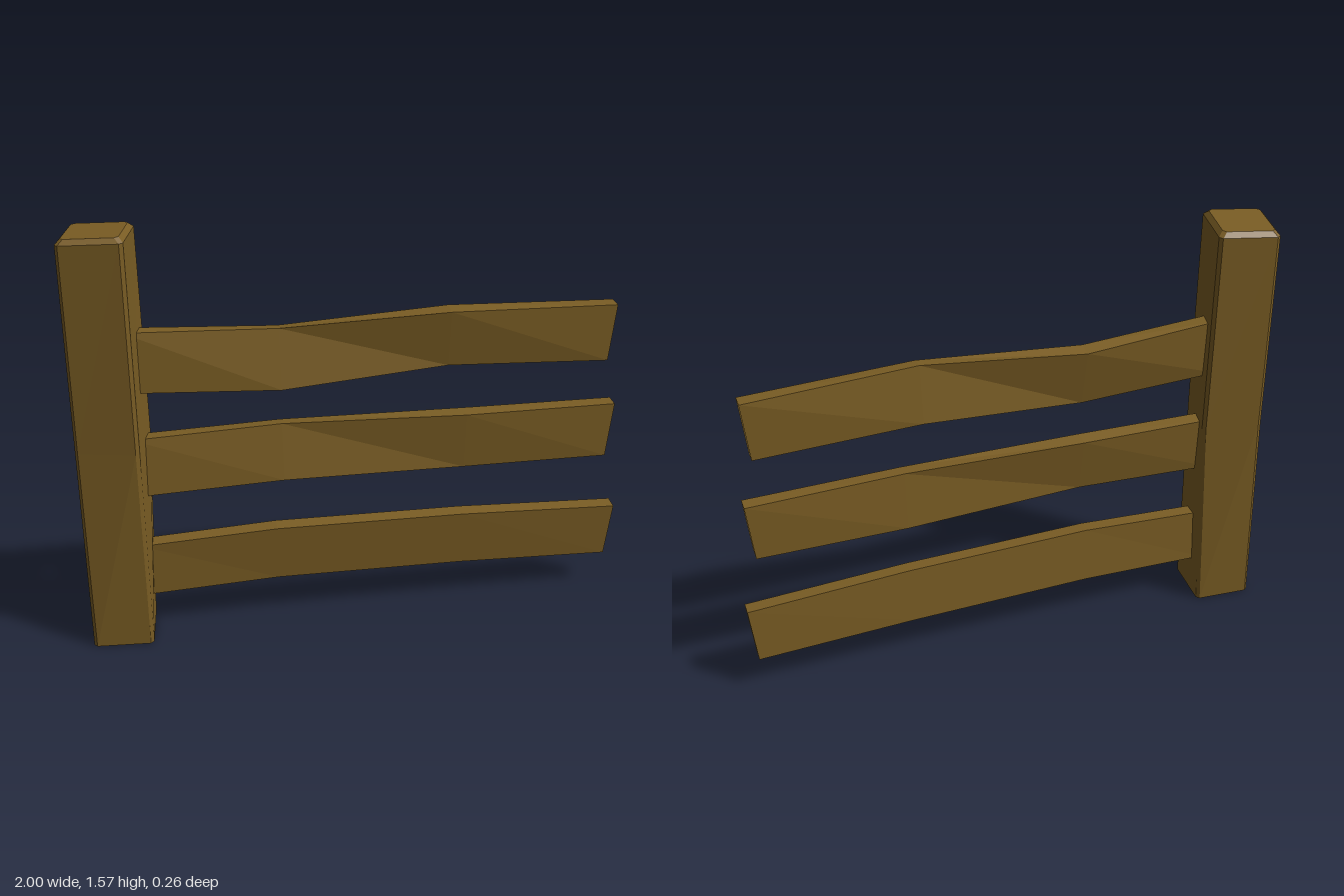
import * as THREE from 'three';

const wood = new THREE.MeshStandardMaterial({ color: 0x7a5d24, side: THREE.DoubleSide, flatShading: true });
wood.name = 'brown wood';

// Skins a list of equal-sized rings of points; the last ring may be capped
function loft(rings, capEnd) {
  const pos = [];
  const tri = (...pts) => pts.forEach((p) => pos.push(p.x, p.y, p.z));
  for (let r = 0; r < rings.length - 1; r++) {
    const a = rings[r], b = rings[r + 1], n = a.length;
    for (let i = 0; i < n; i++) {
      const j = (i + 1) % n;
      tri(a[i], a[j], b[j]);
      tri(a[i], b[j], b[i]);
    }
  }
  if (capEnd) {
    const e = rings[rings.length - 1];
    for (let i = 1; i < e.length - 1; i++) tri(e[0], e[i], e[i + 1]);
  }
  const g = new THREE.BufferGeometry();
  g.setAttribute('position', new THREE.Float32BufferAttribute(pos, 3));
  g.computeVertexNormals();
  return g;
}

// Square post section with narrow chamfered corners, turned about y
function postRing({ x, y, z, half, turn, slopeX = 0, slopeZ = 0 }) {
  const k = half - 0.012, c = Math.cos(turn), s = Math.sin(turn);
  return [
    [k, half], [half, k], [half, -k], [k, -half],
    [-k, -half], [-half, -k], [-half, k], [-k, half],
  ].map(([u, v]) => {
    const dx = u * c - v * s, dz = u * s + v * c;
    return new THREE.Vector3(x + dx, y + dx * slopeX + dz * slopeZ, z + dz);
  });
}

// Rail section: rolled about x by roll, leaning along x by lean
function railRing({ x, y, height, roll, lean = 0 }) {
  const h = height / 2, t = 0.0275, c = Math.cos(roll), s = Math.sin(roll);
  return [[h, -t], [h, t], [-h, t], [-h, -t]].map(([v, w]) =>
    new THREE.Vector3(x + v * lean, y + v * c - w * s, v * s + w * c));
}

export function createModel() {
  const model = new THREE.Group();
  model.name = 'fenceSection';
  const add = (name, geometry) => {
    const mesh = new THREE.Mesh(geometry, wood);
    mesh.name = name;
    model.add(mesh);
  };

  // Slightly twisted post, open underneath, with a bevelled sloping top
  const slope = { slopeX: 0.03, slopeZ: 0.06 };
  add('post', loft([
    { x: -0.882, y: 0, z: 0.002, half: 0.11, turn: 0.075 },
    { x: -0.862, y: 0.8, z: 0, half: 0.112, turn: 0.21 },
    { x: -0.858, y: 1.548, z: 0.002, half: 0.11, turn: 0.19, ...slope },
    { x: -0.858, y: 1.565, z: 0.002, half: 0.094, turn: 0.19, ...slope },
  ].map(postRing), true));

  // Hollow warped rails: [x, centre height, board height, roll] per section
  const rails = {
    topRail: [[-0.8, 1.097, 0.22, -0.05], [-0.27, 1.067, 0.22, -0.19], [0.33, 1.107, 0.215, 0.12], [0.93, 1.083, 0.215, 0]],
    middleRail: [[-0.8, 0.688, 0.22, -0.08], [-0.27, 0.704, 0.215, -0.16], [0.4, 0.693, 0.222, 0.07], [0.955, 0.688, 0.215, 0]],
    bottomRail: [[-0.8, 0.262, 0.215, 0.02], [-0.3, 0.284, 0.222, 0.06], [0.4, 0.273, 0.222, 0.06], [0.99, 0.248, 0.215, 0.04]],
  };
  for (const [name, sections] of Object.entries(rails)) {
    add(name, loft(sections.map(([x, y, height, roll], i) =>
      railRing({ x, y, height, roll, lean: i === 3 ? 0.093 : 0 })), false));
  }
  return model;
}
